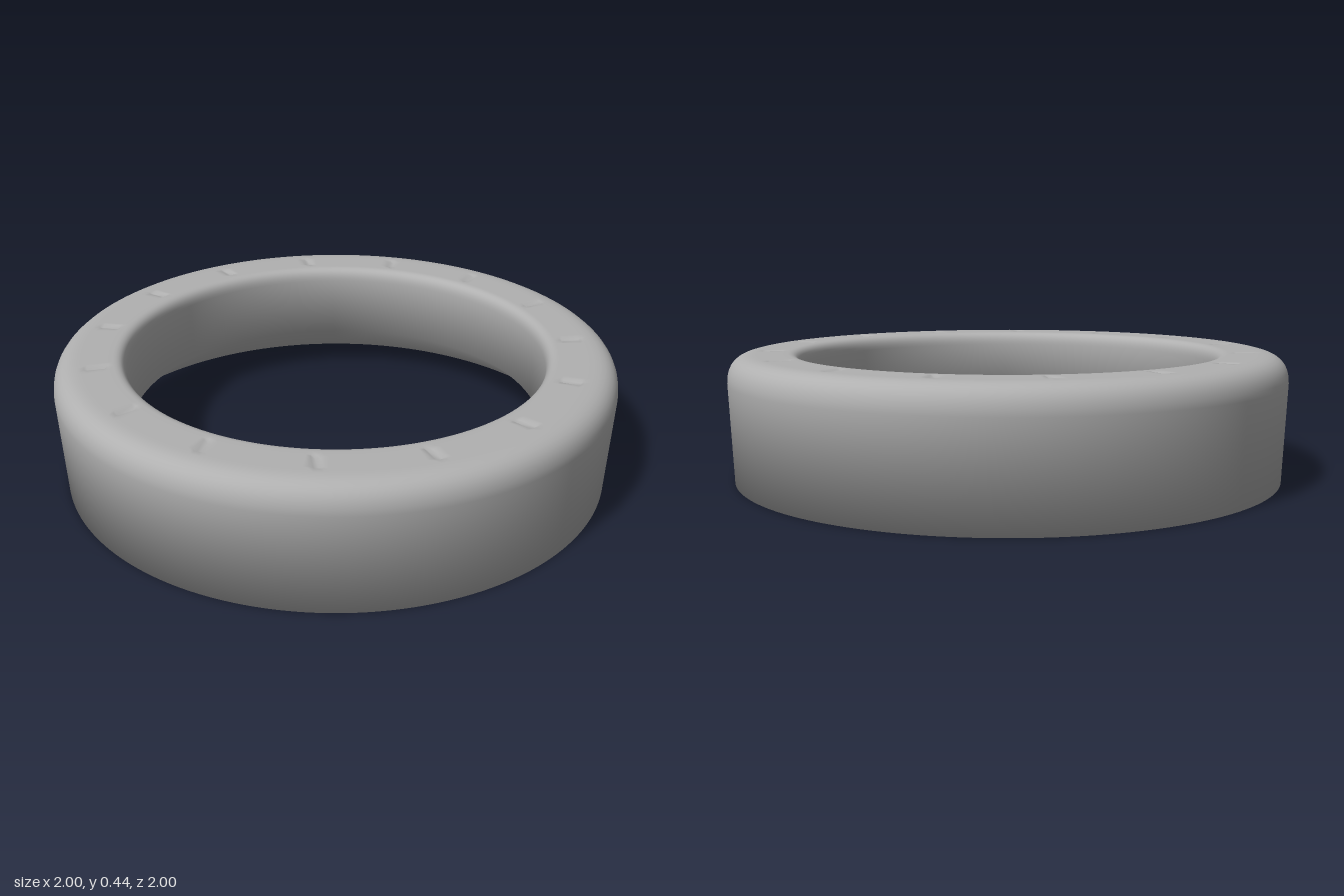
import * as THREE from 'three';
import { mergeVertices } from 'three/addons/utils/BufferGeometryUtils.js';

const material = new THREE.MeshStandardMaterial({ color: 0xb0b0b0 });
const SEGMENTS = 360;
const TOP = 0.445;

// Closed cross-section: outer wall, shoulder, top, bore and flared underside
function crossSection() {
  const path = new THREE.Path();
  path.moveTo(0.985, 0);
  path.lineTo(1, 0.35);
  path.bezierCurveTo(1, 0.41, 0.97, TOP, 0.91, TOP);
  path.lineTo(0.89, TOP);
  path.lineTo(0.88, TOP);
  path.lineTo(0.82, TOP);
  path.lineTo(0.81, TOP);
  path.lineTo(0.79, TOP);
  path.quadraticCurveTo(0.748, TOP, 0.748, 0.395);
  path.lineTo(0.745, 0.17);
  path.lineTo(0.985, 0);
  return path.getPoints(8);
}

export function createModel() {
  const group = new THREE.Group();
  group.name = 'ring';

  const profile = crossSection();
  const lathe = new THREE.LatheGeometry(profile, SEGMENTS, THREE.MathUtils.degToRad(8.3));

  // Fifteen shallow radial notches pressed into the top
  const notchDepth = { 0: 0.01, 1: 0.005 };
  const period = SEGMENTS / 15;
  const position = lathe.attributes.position;
  for (let column = 0; column <= SEGMENTS; column++) {
    const depth = notchDepth[column % period] ?? 0;
    profile.forEach((point, row) => {
      const onTop = point.y > TOP - 0.001 && point.x > 0.815 && point.x < 0.885;
      if (onTop) position.setY(column * profile.length + row, TOP - depth);
    });
  }

  // Weld the seam and the bottom rim so the whole skin shades smoothly
  lathe.deleteAttribute('normal');
  lathe.deleteAttribute('uv');
  const skin = mergeVertices(lathe);
  skin.computeVertexNormals();

  const body = new THREE.Mesh(skin, material);
  body.name = 'notchedRingBody';
  group.add(body);
  return group;
}
